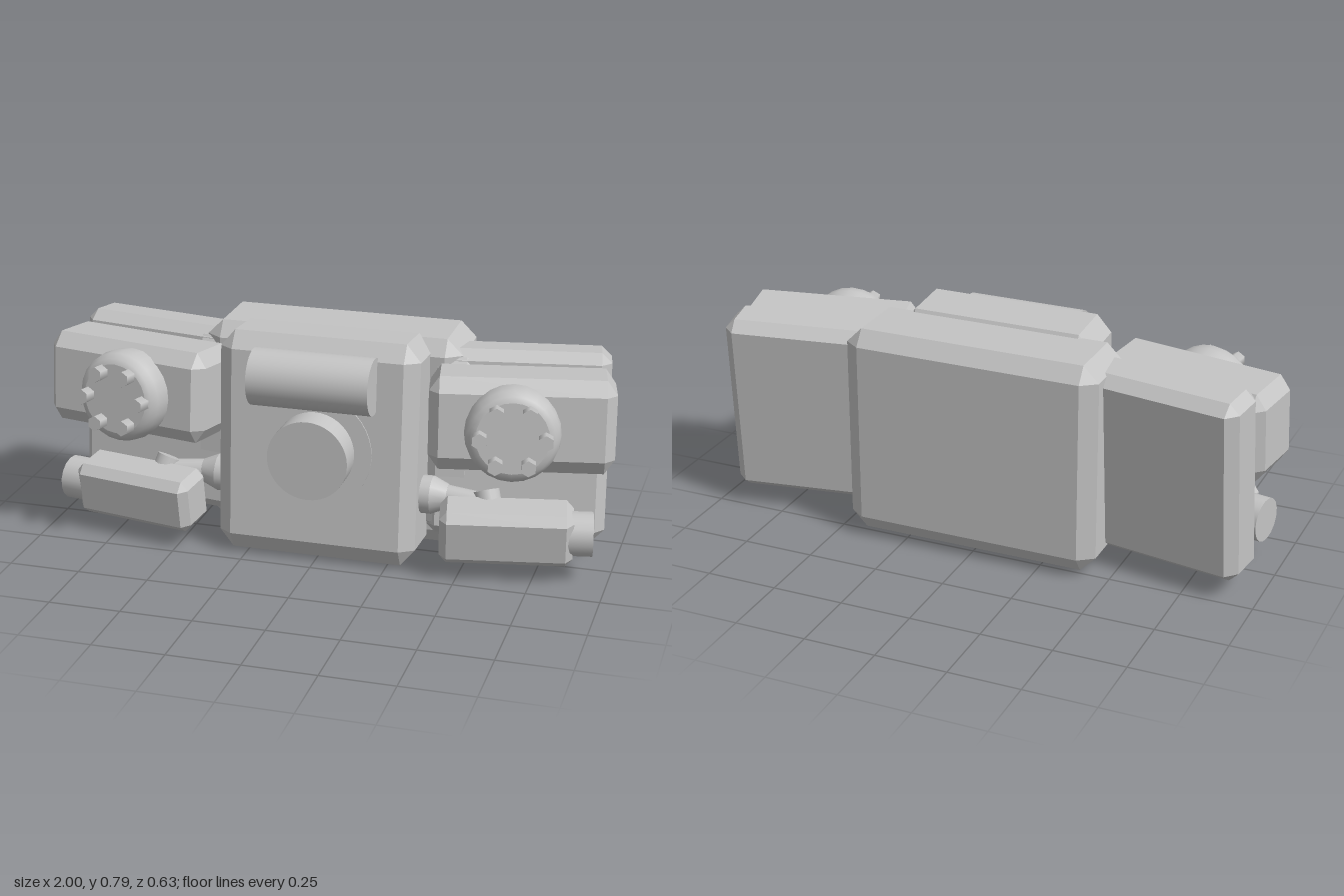
import * as THREE from 'three';
import { ConvexGeometry } from 'three/addons/geometries/ConvexGeometry.js';

const grey = new THREE.MeshStandardMaterial({ color: 0xc4c4c4 });
grey.name = 'plain grey';

// Box with every edge cut off; c holds the cut along x, y and z
function chamferBox(w, h, d, c) {
  const half = [w / 2, h / 2, d / 2];
  const points = [];
  for (let axis = 0; axis < 3; axis++)
    for (const sx of [-1, 1]) for (const sy of [-1, 1]) for (const sz of [-1, 1]) {
      const p = [sx, sy, sz].map((s, i) => s * (half[i] - (i === axis ? 0 : c[i])));
      points.push(new THREE.Vector3(...p));
    }
  return new ConvexGeometry(points);
}

function add(parent, name, geometry, position = [0, 0, 0], rotation = [0, 0, 0]) {
  const mesh = new THREE.Mesh(geometry, grey);
  mesh.name = name;
  mesh.position.set(...position);
  mesh.rotation.set(...rotation, 'YXZ');
  parent.add(mesh);
  return mesh;
}

function addGroup(parent, name, position, rotation) {
  const group = new THREE.Group();
  group.name = name;
  group.position.set(...position);
  group.rotation.set(...rotation, 'YXZ');
  parent.add(group);
  return group;
}

// Cylinder between two points
function rod(parent, name, from, to, r0, r1, sides = 16) {
  const a = new THREE.Vector3(...from), b = new THREE.Vector3(...to);
  const dir = b.clone().sub(a);
  const mesh = add(parent, name, new THREE.CylinderGeometry(r1, r0, dir.length(), sides));
  mesh.position.copy(a).add(b).multiplyScalar(0.5);
  mesh.quaternion.setFromUnitVectors(new THREE.Vector3(0, 1, 0), dir.normalize());
  return mesh;
}

function buildSide(s) {
  const side = new THREE.Group();
  side.name = s > 0 ? 'leftSide' : 'rightSide';
  const turn = (pitch, yaw) => [pitch, s * yaw, 0];

  // Large rear panel swept back and its joint with the core
  add(side, 'rearPanel', chamferBox(0.62, 0.66, 0.19, [0.035, 0.035, 0.04]),
    [s * 0.635, 0.405, -0.135], turn(-0.09, 0.165));
  add(side, 'panelJoint', chamferBox(0.16, 0.62, 0.1, [0.03, 0.03, 0.02]),
    [s * 0.42, 0.405, -0.05], turn(-0.06, 0.165));

  // Upper pod with its bolted round cap
  const pod = addGroup(side, 'upperPod', [s * 0.68, 0.55, 0.04], turn(-0.08, 0.19));
  add(pod, 'podBody', chamferBox(0.62, 0.32, 0.245, [0.035, 0.05, 0.04]));
  const capProfile = [[0.155, 0], [0.16, 0.05], [0.155, 0.085], [0.14, 0.108], [0.12, 0.115]]
    .map(([r, y]) => new THREE.Vector2(r, y));
  const cap = addGroup(pod, 'boltedCap', [-s * 0.03, -0.01, 0.1], [0, 0, 0]);
  add(cap, 'capRim', new THREE.LatheGeometry(capProfile, 24), [0, 0, 0], [Math.PI / 2, 0, 0]);
  add(cap, 'capFace', new THREE.CircleGeometry(0.121, 24), [0, 0, 0.115]);
  for (let i = 0; i < 6; i++) {
    const a = i * Math.PI / 3;
    add(cap, 'bolt', new THREE.CylinderGeometry(0.027, 0.027, 0.06, 6),
      [Math.cos(a) * 0.108, Math.sin(a) * 0.1, 0.13], [Math.PI / 2, 0, 0]);
  }

  // Lower pod with a round end and the arm carrying it
  add(side, 'lowerPod', chamferBox(0.45, 0.195, 0.17, [0.025, 0.03, 0.03]),
    [s * 0.655, 0.172, 0.125], turn(0.13, 0.19));
  rod(side, 'lowerPodEnd', [s * 0.94, 0.172, 0.07], [s * 0.55, 0.172, 0.145], 0.077, 0.077);
  rod(side, 'armSocket', [s * 0.31, 0.25, 0.065], [s * 0.385, 0.25, 0.065], 0.066, 0.066);
  rod(side, 'armSocketTaper', [s * 0.385, 0.25, 0.065], [s * 0.44, 0.25, 0.065], 0.066, 0.042);
  rod(side, 'armLink', [s * 0.42, 0.25, 0.065], [s * 0.58, 0.235, 0.075], 0.042, 0.042);
  rod(side, 'armElbow', [s * 0.57, 0.285, 0.06], [s * 0.6, 0.19, 0.1], 0.045, 0.045);
  return side;
}

export function createModel() {
  const model = new THREE.Group();
  model.name = 'equipmentUnit';

  // Upright core at the back
  add(model, 'rearCore', chamferBox(0.91, 0.745, 0.295, [0.055, 0.055, 0.04]), [0, 0.4025, -0.157]);

  // Front plate leaning slightly back
  const front = addGroup(model, 'frontSection', [0, 0.404, 0.06], [-0.075, 0, 0]);
  add(front, 'frontPlate', chamferBox(0.7, 0.78, 0.25, [0.05, 0.06, 0.04]));
  add(front, 'portRing', new THREE.CylinderGeometry(0.2, 0.2, 0.02, 40), [0, 0, 0.12], [Math.PI / 2, 0, 0]);

  // Round port and horizontal drum
  add(model, 'roundPort', new THREE.CylinderGeometry(0.14, 0.14, 0.16, 40), [0, 0.412, 0.2], [Math.PI / 2, 0, 0]);
  add(model, 'drum', new THREE.CylinderGeometry(0.098, 0.098, 0.42, 32), [0, 0.667, 0.194], [0, 0, Math.PI / 2]);

  model.add(buildSide(1), buildSide(-1));
  return model;
}
